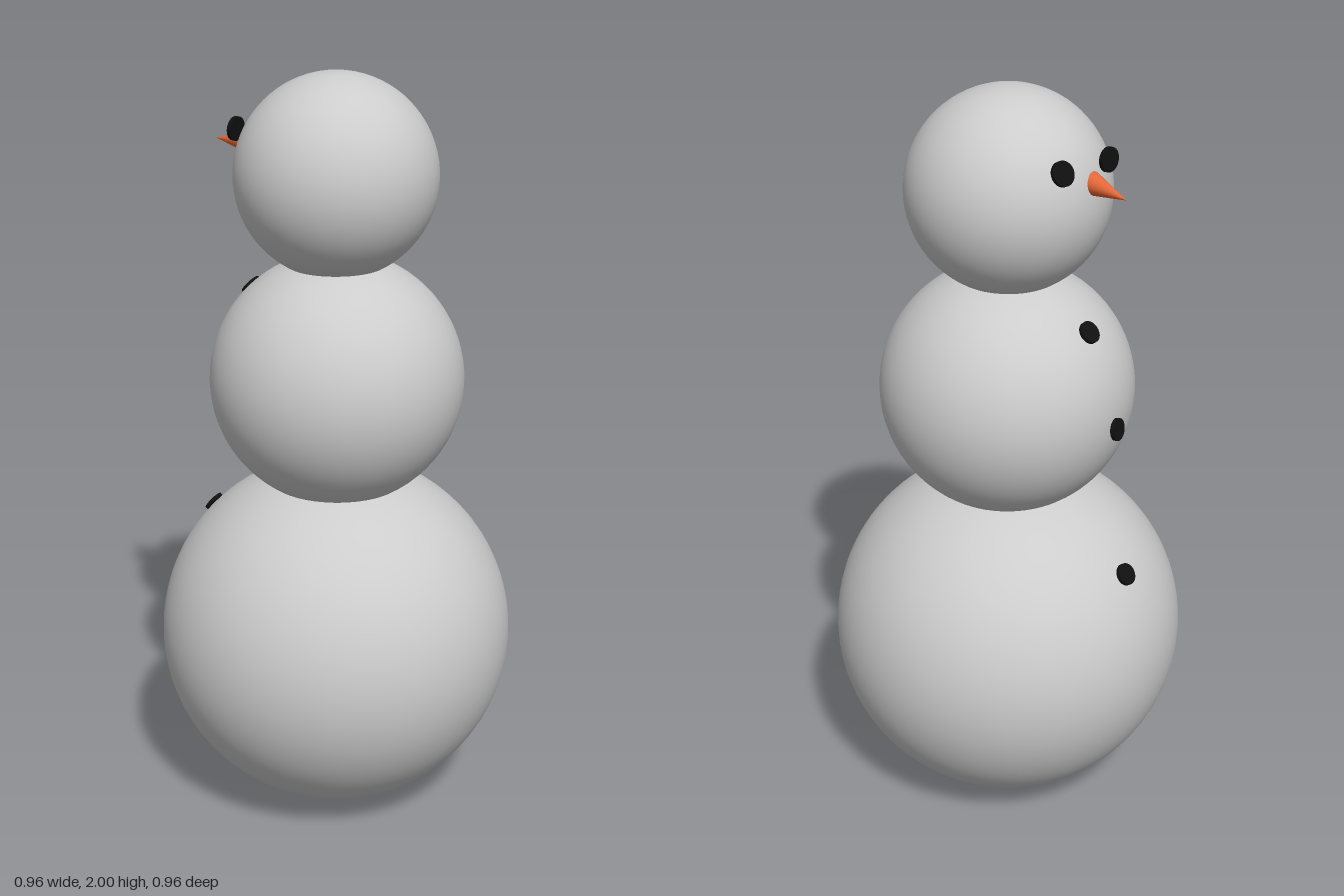
import * as THREE from 'three';

export function createModel() {
  const model = new THREE.Group();
  const material = (name, color) => {
    const m = new THREE.MeshStandardMaterial({ color });
    m.name = name;
    return m;
  };
  const snow = material('snow', 0xcccccc);
  const coal = material('coal', 0x101010);
  const carrot = material('carrot', 0xe8693a);

  const add = (name, geometry, mat, position) => {
    const mesh = new THREE.Mesh(geometry, mat);
    mesh.name = name;
    mesh.position.set(...position);
    model.add(mesh);
    return mesh;
  };
  // Turn a mesh so that its y axis points along a direction
  const aim = (mesh, direction) =>
    mesh.quaternion.setFromUnitVectors(new THREE.Vector3(0, 1, 0), direction.normalize());

  // Three stacked snowballs
  const balls = [
    ['base', 0.478, [0, 0.478, 0]],
    ['torso', 0.335, [-0.002, 1.2, 0.005]],
    ['head', 0.262, [-0.006, 1.738, 0.005]],
  ];
  for (const [name, radius, position] of balls) {
    add(name, new THREE.SphereGeometry(radius, 64, 40), snow, position);
  }

  // Coal discs for eyes and buttons: centre, facing direction, radius
  const discs = [
    ['leftEye', [0.047, 1.849, -0.233], [0.1, 0.45, -0.89], 0.031],
    ['rightEye', [-0.112, 1.847, -0.233], [-0.04, 0.08, -1], 0.031],
    ['upperButton', [-0.04, 1.42, -0.25], [-0.1, 0.65, -0.75], 0.029],
    ['middleButton', [-0.05, 1.18, -0.345], [-0.25, 0.15, -0.95], 0.029],
    ['lowerButton', [-0.052, 0.768, -0.39], [-0.1, 0.6, -0.8], 0.029],
  ];
  for (const [name, position, facing, radius] of discs) {
    const disc = add(name, new THREE.CylinderGeometry(radius, radius, 0.01, 32), coal, position);
    aim(disc, new THREE.Vector3(...facing));
  }

  // Carrot nose
  const root = new THREE.Vector3(-0.052, 1.802, -0.232);
  const tip = new THREE.Vector3(-0.033, 1.798, -0.366);
  const axis = tip.clone().sub(root);
  const middle = root.clone().lerp(tip, 0.5).toArray();
  const nose = add('nose', new THREE.ConeGeometry(0.03, axis.length(), 32), carrot, middle);
  aim(nose, axis);

  return model;
}
